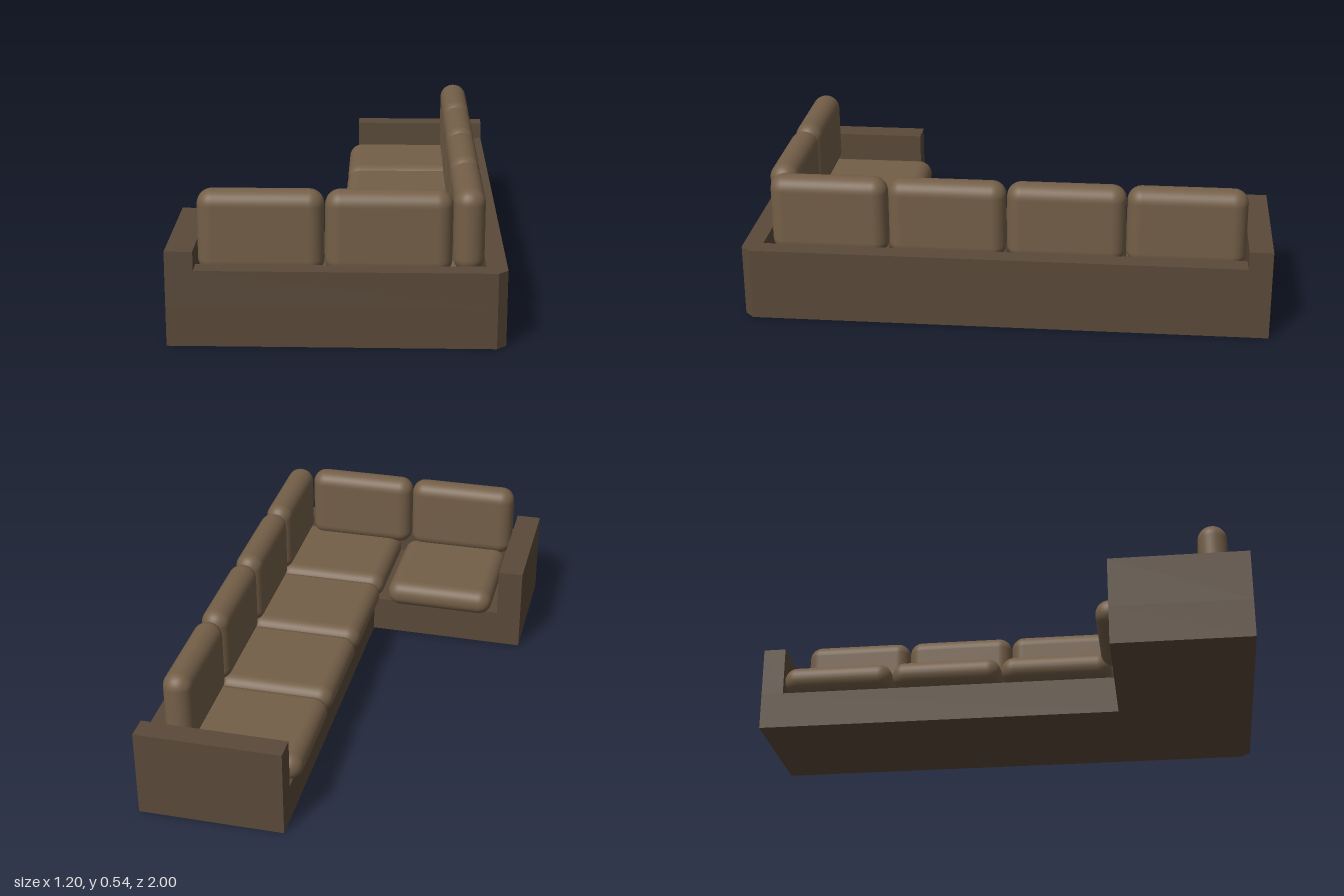
import * as THREE from 'three';
import { RoundedBoxGeometry } from 'three/addons/geometries/RoundedBoxGeometry.js';

const frameMat = new THREE.MeshStandardMaterial({ color: 0x5a4a3a });
const cushionMat = new THREE.MeshStandardMaterial({ color: 0x745f48 });

export function createModel() {
  const sofa = new THREE.Group();
  sofa.name = 'cornerSofa';

  // Upright prism over a floor plan of [x, z] corners
  function prism(name, plan, y0, y1) {
    const shape = new THREE.Shape(plan.map(([x, z]) => new THREE.Vector2(x, z)));
    const geo = new THREE.ExtrudeGeometry(shape, { depth: y1 - y0, bevelEnabled: false });
    geo.rotateX(Math.PI / 2).translate(0, y1, 0);
    const mesh = new THREE.Mesh(geo, frameMat);
    mesh.name = name;
    sofa.add(mesh);
  }

  // Soft block given by its limits on each axis
  function cushion(name, [x0, x1], [y0, y1], [z0, z1], radius) {
    const geo = new RoundedBoxGeometry(x1 - x0, y1 - y0, z1 - z0, 6, radius);
    const mesh = new THREE.Mesh(geo, cushionMat);
    mesh.position.set((x0 + x1) / 2, (y0 + y1) / 2, (z0 + z1) / 2);
    mesh.name = name;
    sofa.add(mesh);
  }

  const deck = 0.15, backTop = 0.28, armTop = 0.35;

  // L-shaped base with a clipped outer corner
  prism('base', [[0.04, -1], [0.6, -1], [0.6, 0.965], [0.565, 1], [-0.6, 1], [-0.6, 0.47], [0.04, 0.47]], 0, deck);

  // Low back wall along both outer sides
  prism('backWall', [[0.525, -0.91], [0.6, -0.91], [0.6, 0.965], [0.565, 1], [-0.5, 1], [-0.5, 0.925], [0.525, 0.925]], deck, backTop);

  // Arm at each end
  prism('longArm', [[0.04, -1], [0.6, -1], [0.6, -0.91], [0.04, -0.91]], deck, armTop);
  prism('shortArm', [[-0.6, 0.47], [-0.5, 0.47], [-0.5, 1], [-0.6, 1]], deck, armTop);

  // Four seats and back cushions along the long side
  const seatY = [deck, 0.26], backY = [0.235, 0.543];
  for (let i = 0; i < 4; i++) {
    const z = [-0.905 + i * 0.451, -0.456 + i * 0.451];
    cushion('seatCushion', [0.002, 0.47], seatY, z, 0.054);
    cushion('backCushion', [0.411, 0.523], backY, z, 0.055);
  }

  // Short side: one seat, two back cushions
  cushion('seatCushion', [-0.475, -0.025], seatY, [0.412, 0.87], 0.054);
  cushion('backCushion', [-0.496, -0.045], backY, [0.812, 0.924], 0.055);
  cushion('backCushion', [-0.043, 0.408], backY, [0.812, 0.924], 0.055);

  return sofa;
}
